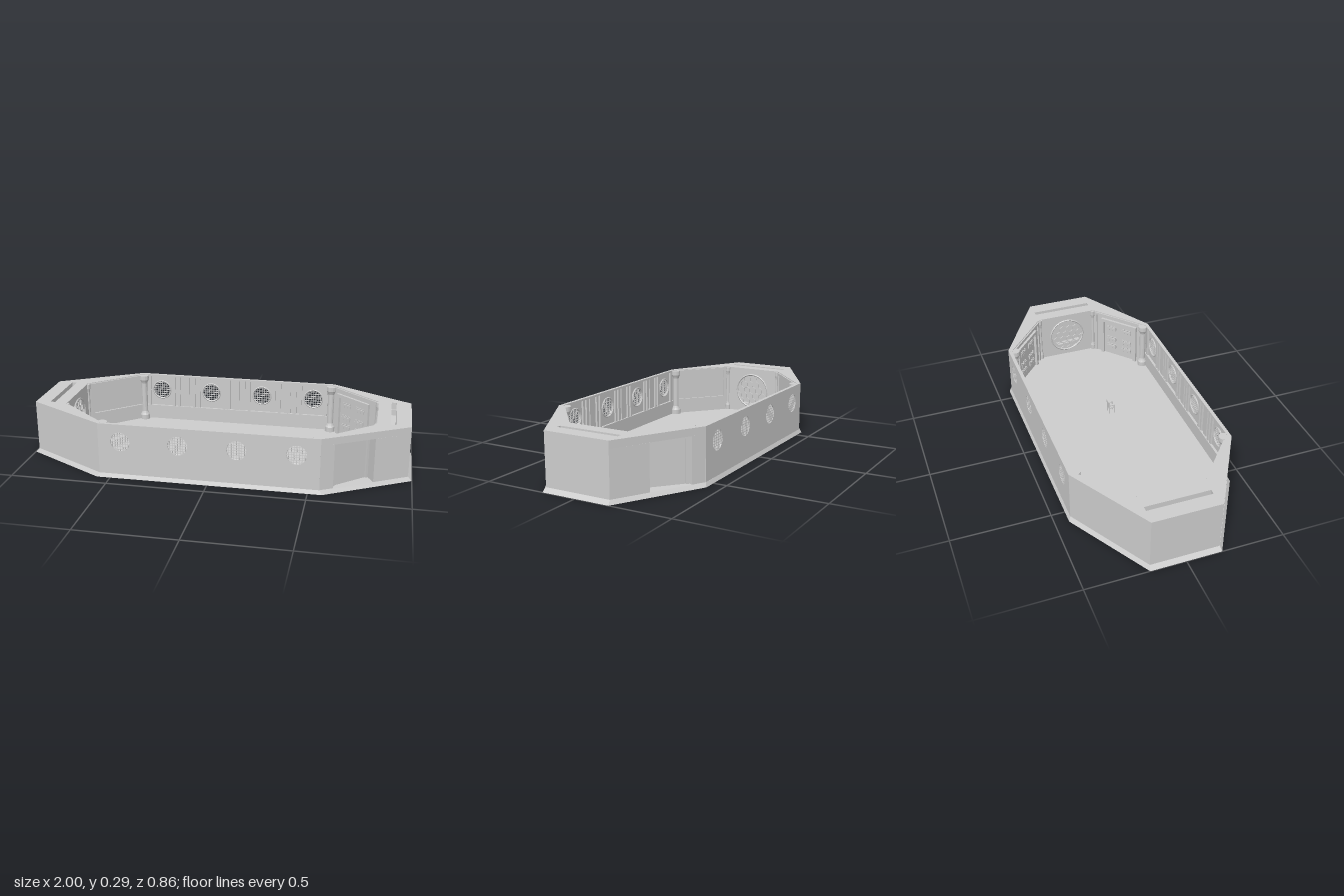
import * as THREE from 'three';

const MAT = new THREE.MeshStandardMaterial({ color: 0xcccccc, flatShading: true, side: THREE.DoubleSide });
const FLOOR = 0.02, TOP = 0.287, LINTEL = 0.25;
const WINDOWS = [-0.443, -0.148, 0.147, 0.442], WIN_Y = 0.195, WIN_R = 0.05;

function add(parent, name, geometry, x = 0, y = 0, z = 0) {
  const m = new THREE.Mesh(geometry, MAT);
  m.name = name;
  m.position.set(x, y, z);
  parent.add(m);
  return m;
}
const box = (parent, name, w, h, d, x, y, z) => add(parent, name, new THREE.BoxGeometry(w, h, d), x, y, z);
const polygon = (pts) => new THREE.Shape(pts.map(([x, y]) => new THREE.Vector2(x, y)));
const extrude = (shape, depth) => new THREE.ExtrudeGeometry(shape, { depth, bevelEnabled: false, curveSegments: 12 });

function circleHole(shape, x, y, r) {
  const p = new THREE.Path();
  p.absarc(x, y, r, 0, Math.PI * 2, true);
  shape.holes.push(p);
}

// Floor-plan outline [x, z] raised from y0 to y1
function planSolid(parent, name, pts, y0, y1, hole) {
  const flip = (list) => list.map(([x, z]) => [x, -z]);
  const shape = polygon(flip(pts));
  if (hole) shape.holes.push(polygon(flip(hole)));
  const g = extrude(shape, y1 - y0).rotateX(-Math.PI / 2);
  return add(parent, name, g, 0, y0, 0);
}

// Group on an inner wall line, local +z facing the room
function wallGroup(parent, name, [x1, z1], [x2, z2]) {
  const g = new THREE.Group();
  g.name = name;
  const mx = (x1 + x2) / 2, mz = (z1 + z2) / 2;
  let nx = z2 - z1, nz = x1 - x2;
  if (nx * mx + nz * mz > 0) { nx = -nx; nz = -nz; }
  g.position.set(mx, 0, mz);
  g.rotation.y = Math.atan2(nx, nz);
  parent.add(g);
  return g;
}

function frame(parent, name, w, y0, y1, t, d, z) {
  for (const s of [-1, 1]) box(parent, name + 'Post', t, y1 - y0, d, s * (w - t) / 2, (y0 + y1) / 2, z);
  box(parent, name + 'Head', w, t, d, 0, y1 - t / 2, z);
}

// Octagonal slab with sloping skirt
function base(root) {
  const pts = [[1, 0.18], [0.57, 0.43], [-0.57, 0.43], [-1, 0.18], [-1, -0.18], [-0.57, -0.43], [0.57, -0.43], [1, -0.18]];
  const g = planSolid(root, 'floorBase', pts, 0, FLOOR).geometry;
  const p = g.attributes.position;
  for (let i = 0; i < p.count; i++) {
    if (p.getY(i) > 0.01) p.setXYZ(i, p.getX(i) * 0.98, p.getY(i), p.getZ(i) * 0.977);
  }
  g.computeVertexNormals();
}

// Round window mesh of crossed bars
function grille(parent, x) {
  const g = new THREE.Group();
  g.name = 'windowGrille';
  g.position.set(x, WIN_Y, 0);
  for (let i = -3; i <= 3; i++) {
    const o = i * 0.0133, len = 2 * Math.sqrt(WIN_R ** 2 - o ** 2);
    box(g, 'uprightBar', 0.003, len, 0.005, o, 0, -0.004);
    box(g, 'crossBar', len, 0.003, 0.005, 0, o, -0.004);
  }
  add(g, 'windowRim', new THREE.TorusGeometry(WIN_R + 0.002, 0.004, 4, 24), 0, 0, 0.002);
  parent.add(g);
}

// Long wall: local z = -0.008 is the outside, +z the room
function longWall(root, s) {
  const g = new THREE.Group();
  g.name = s > 0 ? 'frontWall' : 'backWall';
  g.position.z = s * 0.412;
  g.rotation.y = s > 0 ? Math.PI : 0;
  const shape = polygon([[-0.557, FLOOR], [0.557, FLOOR], [0.557, TOP], [-0.557, TOP]]);
  for (const x of WINDOWS) circleHole(shape, s > 0 ? -x : x, WIN_Y, WIN_R);
  add(g, 'wallPlate', extrude(shape, 0.008), 0, 0, -0.008);
  box(g, 'wainscot', 1.09, 0.08, 0.013, 0, 0.06, 0.0065);
  box(g, 'topRail', 1.09, 0.01, 0.01, 0, TOP - 0.005, 0.005);
  for (const x of WINDOWS) grille(g, s > 0 ? -x : x);
  // Ribs between the windows
  for (let i = -2; i <= 2; i++) {
    for (const o of [-0.075, -0.045, 0, 0.045, 0.075]) {
      const x = i * 0.295 + o;
      if (Math.abs(x) < 0.53) box(g, 'wallRib', o ? 0.014 : 0.035, 0.18, o ? 0.01 : 0.006, x, 0.188, o ? 0.005 : 0.003);
    }
  }
  root.add(g);
}

function column(root, x, z, r) {
  const h = TOP - FLOOR;
  const profile = [[0, 0], [1.3, 0], [1.3, 0.1], [1, 0.14], [0.8, 0.18], [0.8, 0.82], [1, 0.86], [1.25, 0.9], [1.25, 0.99], [0, 0.99]]
    .map(([a, b]) => new THREE.Vector2(a * r, b * h));
  add(root, 'cornerColumn', new THREE.LatheGeometry(profile, 14), x, FLOOR, z);
}

// Thick end block with top slot, round lattice and (on the left) two doorways
function endBlock(root, s, hasDoors) {
  const g = new THREE.Group();
  g.name = hasDoors ? 'leftEnd' : 'rightEnd';
  const mirrorZ = (half) => [...half, ...half.slice().reverse().map(([x, z]) => [x, -z])];
  const flip = (pts) => pts.map(([x, z]) => [x * s, z]);
  const notch = hasDoors ? [[0.61, 0.36], [0.777, 0.212]] : [];
  const door = hasDoors ? [[0.62, 0.383], ...notch, [0.81, 0.274]] : [];
  const outer = mirrorZ([[0.555, 0.42], ...door, [0.98, 0.175]]);
  const inner = (pts) => mirrorZ(pts).reverse();
  planSolid(g, 'endWall', flip([...outer, ...inner([[0.54, 0.405], [0.81, 0.17], [0.82, 0.16], [0.905, 0.16]])]), FLOOR, LINTEL);
  const cap = mirrorZ([[0.555, 0.42], [0.98, 0.175]]);
  planSolid(g, 'endCap', flip([...cap, ...inner([[0.54, 0.405], [0.81, 0.17]])]), LINTEL, TOP,
    flip([[0.877, -0.17], [0.903, -0.17], [0.903, 0.16], [0.877, 0.16]]));

  // Sloping bed under the slot
  const bed = polygon([[0.16, FLOOR], [0.16, 0.06], [-0.1, 0.04], [-0.17, LINTEL], [-0.17, FLOOR]]);
  const bedGeo = extrude(bed, 0.03).rotateY(-Math.PI / 2);
  add(g, 'slotBed', bedGeo, s * 0.89 + 0.015, 0, 0);

  // Inner panel with round opening and hexagonal lattice
  const R = 0.1, cy = 0.15;
  const panelShape = polygon([[-0.165, FLOOR], [0.165, FLOOR], [0.165, TOP], [-0.165, TOP]]);
  circleHole(panelShape, 0, cy, R);
  const wall = wallGroup(g, 'endPanel', [s * 0.82, 0.17], [s * 0.82, -0.17]);
  add(wall, 'roundOpening', extrude(panelShape, 0.01));
  const disc = new THREE.Shape();
  disc.absarc(0, 0, R, 0, Math.PI * 2);
  const hex = 0.0195, pitch = 0.04;
  for (let r = -3; r <= 3; r++) {
    for (let c = -3; c <= 3; c++) {
      const x = (c + (r % 2 ? 0.5 : 0)) * pitch, y = r * pitch * 0.866;
      if (Math.hypot(x, y) > R - 0.02) continue;
      const cell = [0, 1, 2, 3, 4, 5].map((k) => [x + hex * Math.sin(k * Math.PI / 3), y + hex * Math.cos(k * Math.PI / 3)]);
      disc.holes.push(polygon(cell));
    }
  }
  add(wall, 'hexLattice', extrude(disc, 0.006), 0, cy, 0.001);
  add(wall, 'openingRim', new THREE.TorusGeometry(R, 0.005, 4, 28), 0, cy, 0.01);

  for (const t of [-1, 1]) {
    // Slanted inner walls
    const diag = wallGroup(g, hasDoors ? 'doorWall' : 'slantedPanel', [s * 0.54, t * 0.405], [s * 0.81, t * 0.17]);
    frame(diag, 'wallFrame', 0.33, FLOOR, TOP - 0.004, 0.014, 0.008, 0.004);
    if (hasDoors) {
      frame(diag, 'doorFrame', 0.235, FLOOR, LINTEL + 0.005, 0.018, 0.014, 0.007);
      for (const y of [0.075, 0.125, 0.2]) {
        for (const x of [-0.05, 0.05]) {
          box(diag, 'doorPanel', 0.06, 0.012, 0.008, x, y, 0.004);
          for (const o of [-0.022, 0, 0.022]) box(diag, 'doorStud', 0.012, 0.03, 0.006, x + o, y, 0.003);
        }
      }
      // Outer door trim inside the doorway
      const [a, b] = notch.map(([x, z]) => [s * x, t * z]);
      const out = wallGroup(g, 'doorway', a, b);
      frame(out, 'doorTrim', 0.22, FLOOR, LINTEL, 0.014, 0.008, -0.004);
    } else {
      box(diag, 'dado', 0.31, 0.08, 0.006, 0, 0.06, 0.003);
      box(diag, 'dadoRail', 0.31, 0.006, 0.01, 0, 0.103, 0.005);
    }
    column(g, s * 0.543, t * 0.385, 0.021);
    column(g, s * 0.81, t * 0.165, 0.011);
  }
  root.add(g);
}

// Small chair standing on the floor
function chair(root) {
  const g = new THREE.Group();
  g.name = 'chair';
  g.position.set(0.163, FLOOR, 0.05);
  box(g, 'seat', 0.036, 0.006, 0.036, 0, 0.035, 0);
  box(g, 'backrest', 0.036, 0.035, 0.006, 0, 0.055, -0.016);
  for (const x of [-1, 1]) {
    box(g, 'armrest', 0.005, 0.005, 0.034, x * 0.016, 0.052, 0);
    for (const z of [-1, 1]) box(g, 'leg', 0.005, 0.034, 0.005, x * 0.015, 0.017, z * 0.015);
    box(g, 'armPost', 0.005, 0.016, 0.005, x * 0.016, 0.044, 0.013);
  }
  root.add(g);
}

export function createModel() {
  const root = new THREE.Group();
  root.name = 'octagonalRoom';
  base(root);
  for (const s of [1, -1]) {
    longWall(root, s);
    endBlock(root, s, s > 0);
  }
  chair(root);
  return root;
}
